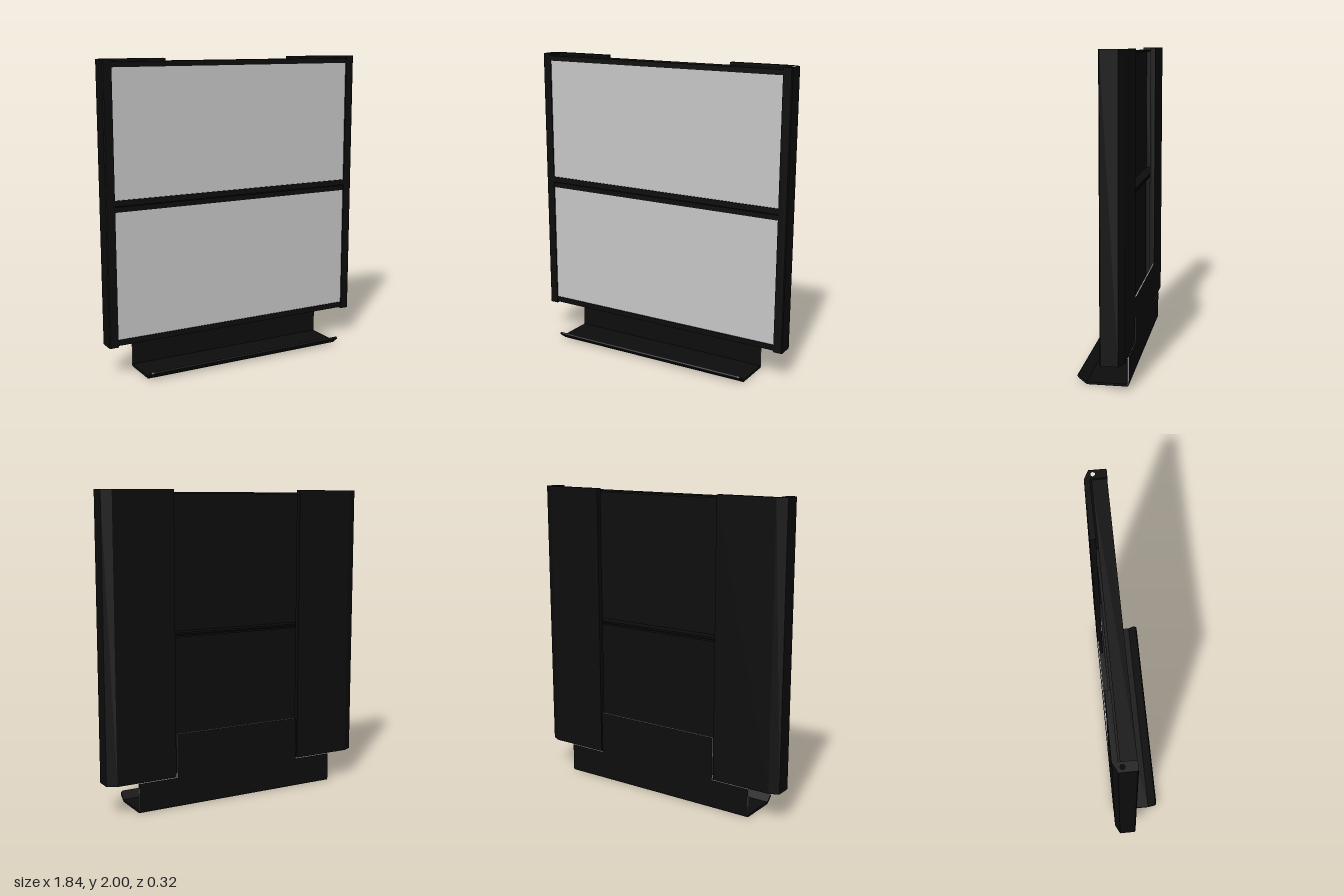
import * as THREE from 'three';

export function createModel() {
  const black = new THREE.MeshStandardMaterial({ color: 0x0d0d0d });
  black.name = 'black metal';
  const grey = new THREE.MeshStandardMaterial({ color: 0xc8c8c8 });
  grey.name = 'light grey';
  const model = new THREE.Group();
  model.name = 'panelUnit';

  function add(name, geometry, material, parent = model) {
    const mesh = new THREE.Mesh(geometry, material);
    mesh.name = name;
    parent.add(mesh);
    return mesh;
  }
  // Box given by its lower and upper bounds
  function box(name, x, y, z, material, parent) {
    const g = new THREE.BoxGeometry(x[1] - x[0], y[1] - y[0], z[1] - z[0]);
    g.translate((x[0] + x[1]) / 2, (y[0] + y[1]) / 2, (z[0] + z[1]) / 2);
    return add(name, g, material, parent);
  }

  // Side rails: hollow-bored post with a wide back plate, extruded upwards
  const railProfile = [
    [0.457, -0.16], [0.86, -0.16], [0.92, -0.13], [0.92, -0.026], [0.914, -0.02],
    [0.86, -0.02], [0.86, -0.125], [0.457, -0.125],
  ];
  for (const side of [-1, 1]) {
    const shape = new THREE.Shape(railProfile.map(([x, z]) => new THREE.Vector2(side * x, -z)));
    const bore = new THREE.Path();
    bore.absarc(side * 0.89, 0.105, 0.014, 0, Math.PI * 2, true);
    shape.holes.push(bore);
    const g = new THREE.ExtrudeGeometry(shape, { depth: 1.805, bevelEnabled: false, curveSegments: 16 });
    g.rotateX(-Math.PI / 2).translate(0, 0.195, 0);
    add(side > 0 ? 'leftRail' : 'rightRail', g, black);
  }

  // Two trays, open at the back, each with a grey front sheet
  const w = [-0.86, 0.86];
  [['lowerTray', 0.205, 1.098], ['upperTray', 1.102, 1.985]].forEach(([name, y0, y1]) => {
    const tray = new THREE.Group();
    tray.name = name;
    model.add(tray);
    box('bottomFlange', w, [y0, y0 + 0.012], [-0.115, -0.022], black, tray);
    box('topFlange', w, [y1 - 0.012, y1], [-0.115, -0.022], black, tray);
    box('bottomBorder', w, [y0, y0 + 0.037], [-0.04, -0.022], black, tray);
    box('topBorder', w, [y1 - 0.033, y1], [-0.04, -0.022], black, tray);
    box('backing', w, [y0 + 0.012, y1 - 0.012], [-0.045, -0.035], black, tray);
    box('frontSheet', w, [y0 + 0.037, y1 - 0.033], [-0.035, -0.028], grey, tray);
  });

  // Shelf back plate: black faces with bare light edges
  const bracket = new THREE.Group();
  bracket.name = 'shelfBracket';
  model.add(bracket);
  const edged = [grey, grey, grey, black, black, black];
  box('lowerBackPlate', [-0.715, 0.715], [0.015, 0.19], [-0.16, -0.151], edged, bracket);
  box('upperBackPlate', [-0.448, 0.448], [0.19, 0.475], [-0.16, -0.151], edged, bracket);

  // Shelf floor with a bent rear corner
  const floor = new THREE.Shape();
  floor.moveTo(-0.1, 0);
  floor.lineTo(0.15, 0);
  floor.quadraticCurveTo(0.16, 0, 0.16, 0.015);
  floor.lineTo(-0.1, 0.015);
  const floorGeometry = new THREE.ExtrudeGeometry(floor, { depth: 1.43, bevelEnabled: false });
  floorGeometry.translate(0, 0, -0.715).rotateY(Math.PI / 2);
  add('shelfFloor', floorGeometry, black, bracket);

  // Upturned front lip with rounded outer corners
  const len = Math.hypot(0.06, 0.047), r = 0.025, h = 0.715;
  const lip = new THREE.Shape();
  lip.moveTo(-h, 0);
  lip.lineTo(h, 0);
  lip.lineTo(h, len - r);
  lip.quadraticCurveTo(h, len, h - r, len);
  lip.lineTo(-h + r, len);
  lip.quadraticCurveTo(-h, len, -h, len - r);
  const lipMesh = add('shelfLip',
    new THREE.ExtrudeGeometry(lip, { depth: 0.012, bevelEnabled: false }).translate(0, 0, -0.012), black, bracket);
  lipMesh.position.set(0, 0.001, 0.098);
  lipMesh.rotation.x = Math.atan2(0.06, 0.047);
  return model;
}
